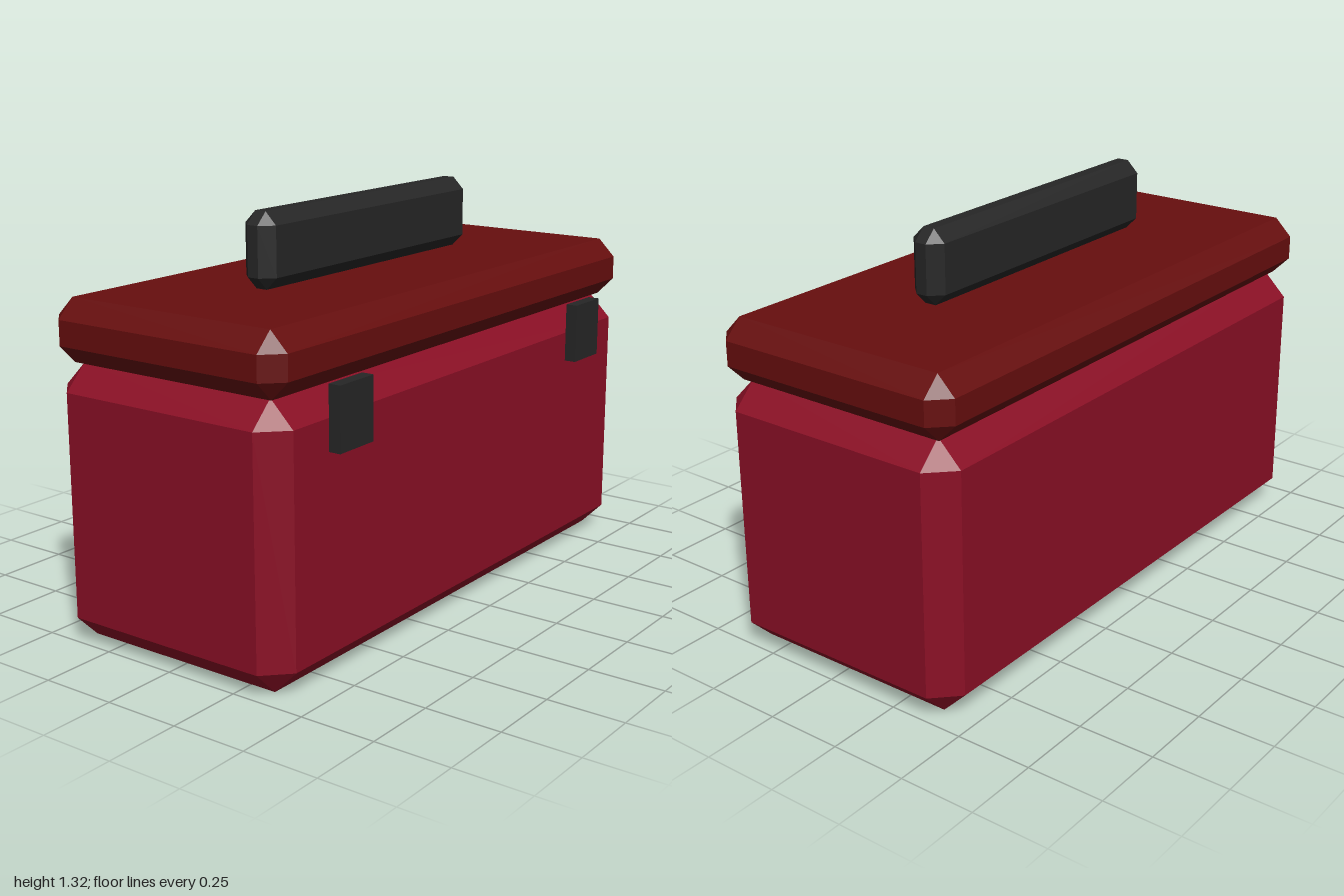
import * as THREE from 'three';
import { ConvexGeometry } from 'three/addons/geometries/ConvexGeometry.js';

// Box with every edge cut at 45 degrees and triangular corners
function chamferedBox(w, h, d, c) {
  const points = [];
  for (const sx of [-1, 1]) for (const sy of [-1, 1]) for (const sz of [-1, 1]) {
    const x = w / 2, y = h / 2, z = d / 2;
    points.push(
      new THREE.Vector3(sx * x, sy * (y - c), sz * (z - c)),
      new THREE.Vector3(sx * (x - c), sy * y, sz * (z - c)),
      new THREE.Vector3(sx * (x - c), sy * (y - c), sz * z)
    );
  }
  return new ConvexGeometry(points);
}

export function createModel() {
  const model = new THREE.Group();
  model.name = 'coolBox';

  const material = (name, color) => {
    const m = new THREE.MeshStandardMaterial({ color, flatShading: true });
    m.name = name;
    return m;
  };
  const red = material('crimson', 0x8a0f25);
  const darkRed = material('darkRed', 0x660e0e);
  const black = material('charcoal', 0x262626);

  const add = (name, geometry, mat, x, y, z) => {
    const mesh = new THREE.Mesh(geometry, mat);
    mesh.name = name;
    mesh.position.set(x, y, z);
    model.add(mesh);
  };

  // Main box, lid and carrying handle
  add('body', chamferedBox(2, 0.88, 0.88, 0.08), red, 0, 0.44, -0.02);
  add('lid', chamferedBox(2, 0.2, 0.88, 0.06), darkRed, 0, 0.98, -0.02);
  add('handle', chamferedBox(1.115, 0.24, 0.12, 0.04), black, 0, 1.2, -0.02);

  // Latches on the front
  for (const side of [-1, 1]) {
    add(side > 0 ? 'leftLatch' : 'rightLatch', new THREE.BoxGeometry(0.16, 0.2, 0.04), black, side * 0.68, 0.8, 0.44);
  }

  return model;
}
